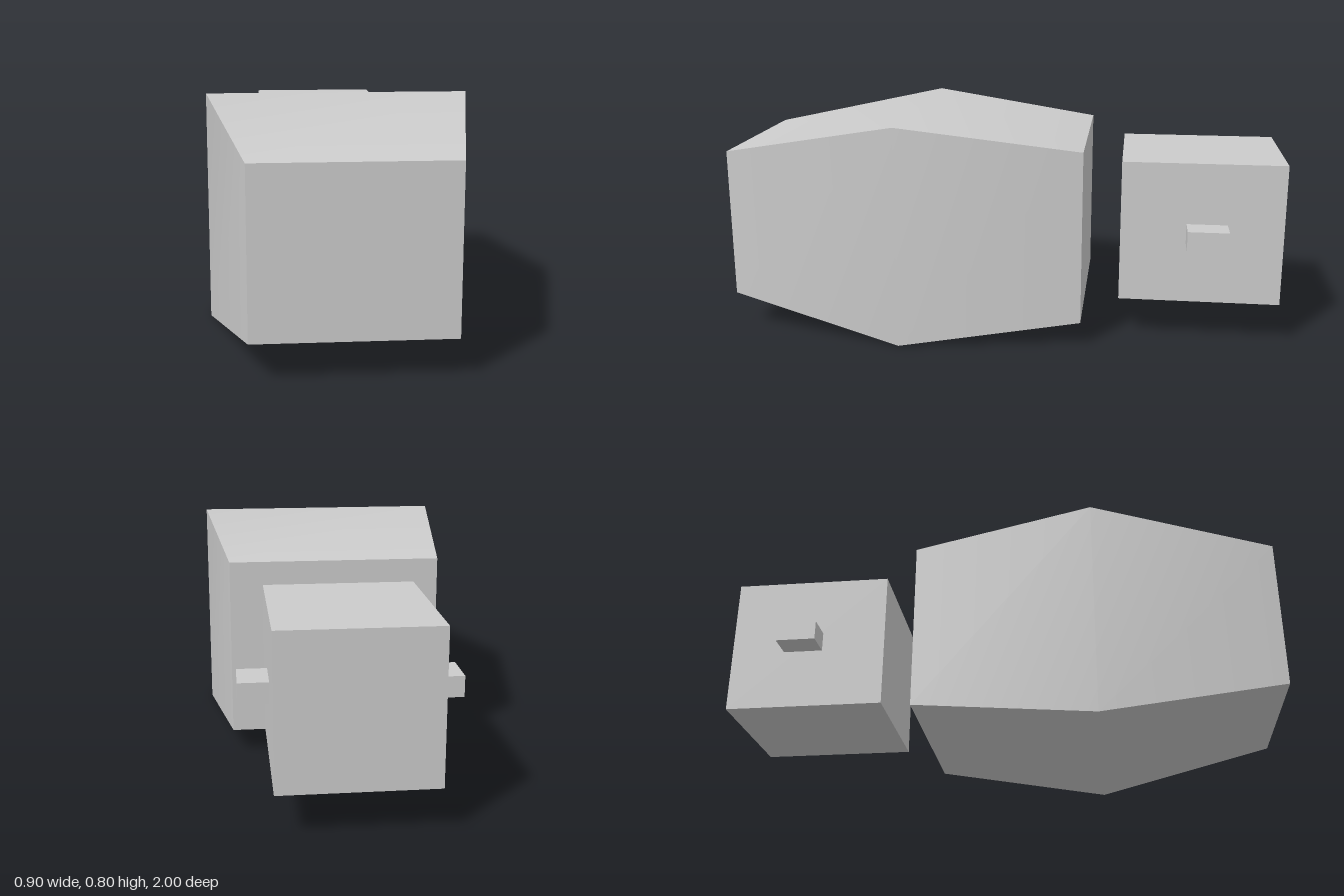
import * as THREE from 'three';

const material = new THREE.MeshStandardMaterial({ color: 0xcccccc });

function addMesh(group, name, geometry, x, y, z) {
  const mesh = new THREE.Mesh(geometry, material);
  mesh.name = name;
  mesh.position.set(x, y, z);
  group.add(mesh);
}

export function createModel() {
  const group = new THREE.Group();
  group.name = 'model';

  // Body: a box with a middle ring, tapered towards both ends
  const sections = [
    { z: -0.295, w: 0.368, h: 0.311 },
    { z: 0.352, w: 0.45, h: 0.398 },
    { z: 1, w: 0.318, h: 0.271 },
  ];
  const body = new THREE.BoxGeometry(2, 2, 2, 1, 1, 2);
  const p = body.attributes.position;
  for (let i = 0; i < p.count; i++) {
    const s = sections[Math.round(p.getZ(i)) + 1];
    p.setXYZ(i, p.getX(i) * s.w, p.getY(i) * s.h, s.z);
  }
  body.computeVertexNormals(); // smooth over the ring, sharp at the box edges
  addMesh(group, 'body', body, 0, 0.398, 0);

  // Separate block behind the body
  addMesh(group, 'rearBlock', new THREE.BoxGeometry(0.516, 0.51, 0.574), 0, 0.402, -0.713);

  // Small pegs on both sides of the rear block
  for (const side of [1, -1]) {
    addMesh(group, side > 0 ? 'leftPeg' : 'rightPeg',
      new THREE.BoxGeometry(0.11, 0.07, 0.144), side * 0.303, 0.402, -0.731);
  }

  return group;
}
